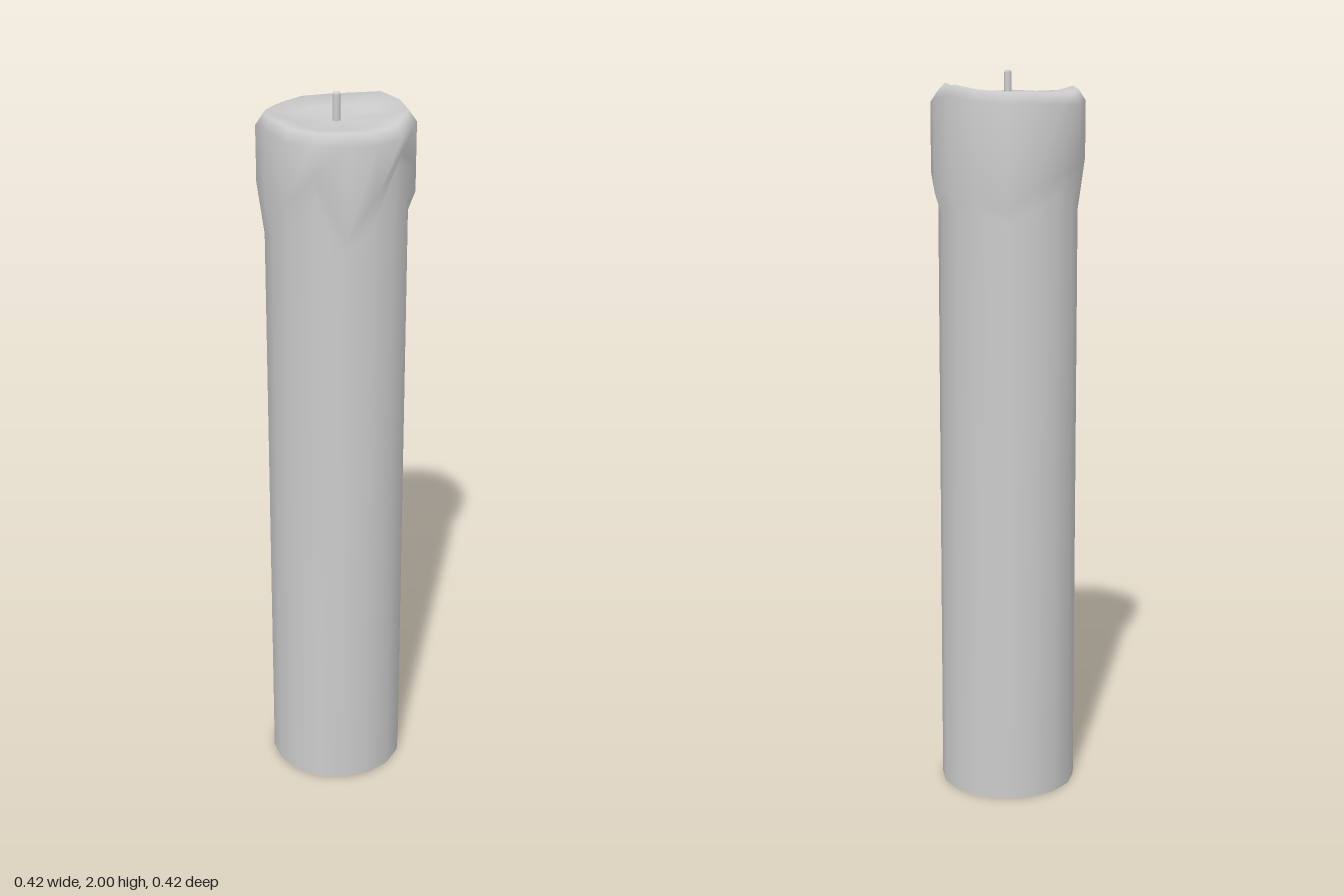
import * as THREE from 'three';

const SIDES = 16;
// Per side, counted from the front towards +x: rim height, drip tip, height where the drip is full
const RIM = [1.945, 1.94, 1.945, 1.965, 1.945, 1.955, 1.962, 1.95, 1.945, 1.945, 1.94, 1.94, 1.95, 1.957, 1.945, 1.942];
const TIP = [1.63, 1.70, 1.84, 1.74, 1.68, 1.62, 1.64, 1.64, 1.60, 1.63, 1.68, 1.66, 1.63, 1.64, 1.68, 1.77];
const FULL = [1.67, 1.78, 1.88, 1.82, 1.73, 1.68, 1.70, 1.68, 1.64, 1.69, 1.73, 1.75, 1.77, 1.74, 1.76, 1.84];

// Joins rings of [radius, height(i)] from the bottom up and closes at a centre point
function ringSurface(rings, centreY) {
  const pos = [], index = [];
  for (const [r, height] of rings) {
    for (let i = 0; i < SIDES; i++) {
      const a = (i / SIDES) * Math.PI * 2;
      pos.push(r * Math.sin(a), height(i), r * Math.cos(a));
    }
  }
  pos.push(0, centreY, 0);
  const centre = rings.length * SIDES;
  for (let k = 0; k < rings.length; k++) {
    for (let i = 0; i < SIDES; i++) {
      const j = (i + 1) % SIDES;
      const a = k * SIDES + i, b = k * SIDES + j;
      if (k === rings.length - 1) index.push(a, b, centre);
      else index.push(a, b, b + SIDES, a, b + SIDES, a + SIDES);
    }
  }
  const geo = new THREE.BufferGeometry();
  geo.setAttribute('position', new THREE.Float32BufferAttribute(pos, 3));
  geo.setIndex(index);
  geo.computeVertexNormals();
  return geo;
}

export function createModel() {
  const group = new THREE.Group();
  const material = new THREE.MeshStandardMaterial({ color: 0xcccccc });
  const add = (name, geometry) => {
    const mesh = new THREE.Mesh(geometry, material);
    mesh.name = name;
    group.add(mesh);
    return mesh;
  };

  // Wax column with the melted collar, rounded rim and hollow top
  add('wax', ringSurface([
    [0.189, () => 0],
    [0.189, i => TIP[i]],
    [0.208, i => FULL[i]],
    [0.208, i => RIM[i] - 0.03],
    [0.188, i => RIM[i]],
    [0.12, i => 1.932 + (RIM[i] - 1.945) * 0.4],
  ], 1.925));

  // Flat underside
  const base = add('base', new THREE.CircleGeometry(0.189, SIDES));
  base.rotation.x = Math.PI / 2;

  // Wick with a slightly rounded tip
  const wickProfile = [[0.0105, 1.92], [0.0105, 1.992], [0.008, 1.998], [0, 2]];
  add('wick', new THREE.LatheGeometry(wickProfile.map(p => new THREE.Vector2(...p)), 10));

  return group;
}
